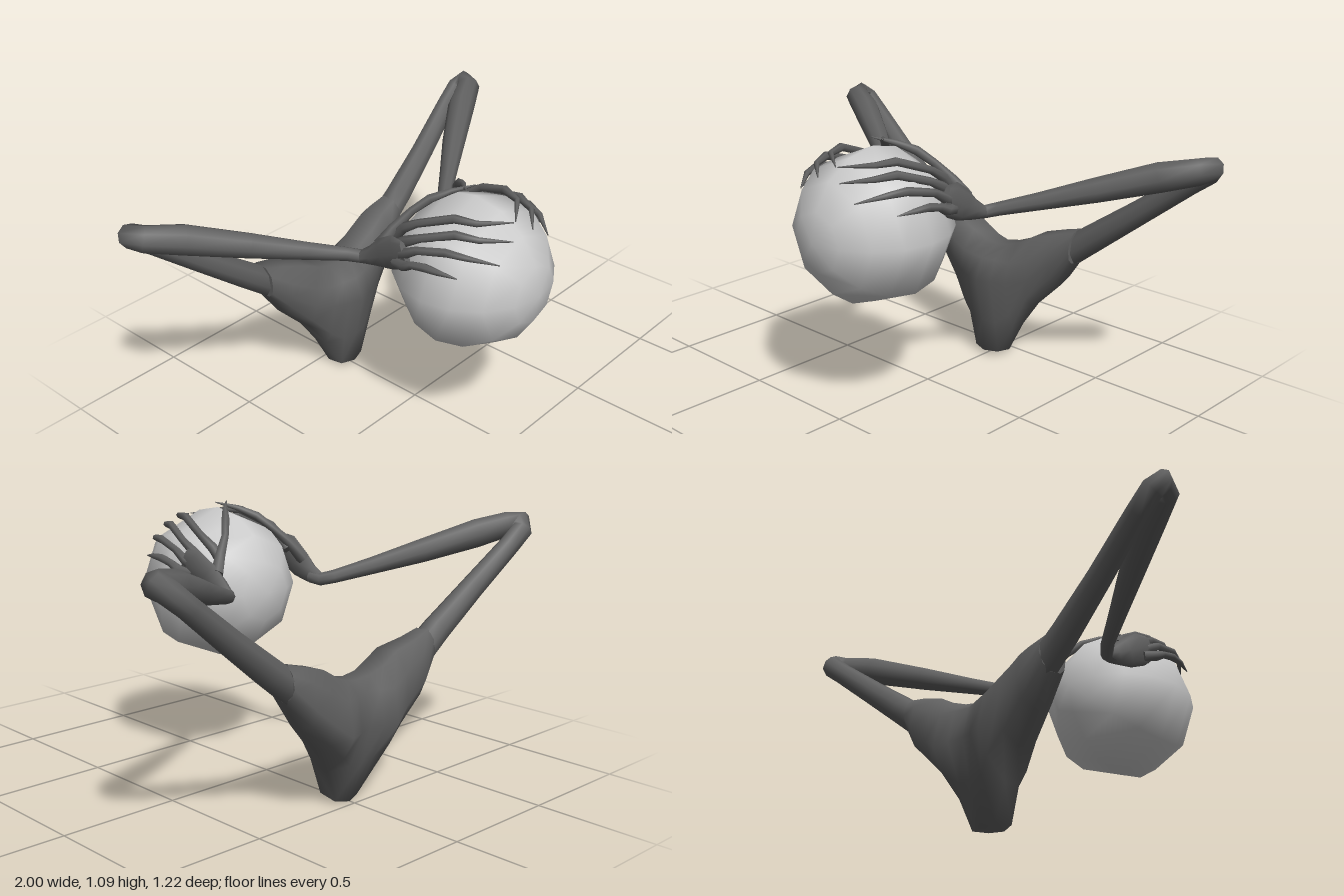
import * as THREE from 'three';

const V = (x, y, z) => new THREE.Vector3(x, y, z);
const dark = new THREE.MeshStandardMaterial({ color: 0x606060 });
const grey = new THREE.MeshStandardMaterial({ color: 0xcccccc });
const ORB = V(0, 0.757, 0.296), ORB_R = 0.313;

// Skin a closed, capped surface over a list of equal-sized rings
function loft(rings) {
  const n = rings[0].length, pos = [], idx = [];
  rings.forEach(r => r.forEach(p => pos.push(p.x, p.y, p.z)));
  for (let k = 0; k < rings.length - 1; k++) {
    for (let i = 0; i < n; i++) {
      const a = k * n + i, b = k * n + (i + 1) % n;
      idx.push(a, b, a + n, b, b + n, a + n);
    }
  }
  // caps have their own vertices so their rims stay crisp
  [[rings[0], true], [rings[rings.length - 1], false]].forEach(([ring, flip]) => {
    const base = pos.length / 3;
    const mid = ring.reduce((s, p) => s.add(p), V(0, 0, 0)).divideScalar(n);
    [...ring, mid].forEach(p => pos.push(p.x, p.y, p.z));
    for (let i = 0; i < n; i++) {
      const a = base + i, b = base + (i + 1) % n;
      idx.push(base + n, flip ? b : a, flip ? a : b);
    }
  });
  const g = new THREE.BufferGeometry();
  g.setAttribute('position', new THREE.Float32BufferAttribute(pos, 3));
  g.setIndex(idx);
  g.computeVertexNormals();
  return g;
}

// Rings around a path of [x, y, z, radius along ref, radius across]
function limbRings(path, ref, sides) {
  const c = path.map(p => V(p[0], p[1], p[2]));
  return c.map((p, k) => {
    const before = c[Math.max(k - 1, 0)], after = c[Math.min(k + 1, c.length - 1)];
    const t = V(0, 0, 0);
    if (k > 0) t.add(p.clone().sub(before).normalize());
    if (k < c.length - 1) t.add(after.clone().sub(p).normalize());
    t.normalize();
    const r = ref(p);
    const u = r.clone().addScaledVector(t, -r.dot(t)).normalize();
    const v = t.clone().cross(u);
    const ru = path[k][3], rv = path[k][4] ?? ru;
    return Array.from({ length: sides }, (_, i) => {
      const a = i / sides * Math.PI * 2;
      return p.clone().addScaledVector(u, ru * Math.cos(a)).addScaledVector(v, rv * Math.sin(a));
    });
  });
}

const mirrored = rings => rings.map(r => r.map(p => V(-p.x, p.y, p.z)).reverse());

// Torso slices: x, then a loop of [z, y] from the bottom front, up and over to the bottom back
const TORSO = [
  [0, [[-.355, .022], [-.34, .17], [-.295, .365], [-.33, .46], [-.43, .5], [-.5, .5], [-.55, .46], [-.575, .33], [-.53, .17], [-.475, .003]]],
  [.062, [[-.375, .026], [-.352, .17], [-.315, .367], [-.342, .46], [-.43, .51], [-.51, .51], [-.568, .46], [-.59, .325], [-.53, .18], [-.455, .012]]],
  [.125, [[-.40, .16], [-.365, .22], [-.34, .37], [-.355, .46], [-.42, .535], [-.52, .535], [-.585, .46], [-.607, .32], [-.56, .23], [-.47, .15]]],
  [.2, [[-.42, .275], [-.39, .31], [-.375, .39], [-.375, .48], [-.42, .575], [-.52, .58], [-.575, .5], [-.588, .38], [-.555, .3], [-.48, .265]]],
  [.3, [[-.45, .375], [-.41, .42], [-.40, .48], [-.40, .54], [-.45, .605], [-.53, .61], [-.575, .56], [-.588, .46], [-.56, .395], [-.5, .37]]],
  [.385, [[-.45, .5], [-.43, .52], [-.425, .56], [-.43, .6], [-.46, .63], [-.52, .635], [-.55, .6], [-.56, .55], [-.54, .51], [-.5, .49]]],
];

// Shoulder, elbow and wrist
const ARM = [
  [.34, .53, -.495, .062], [.46, .62, -.5, .058], [.65, .762, -.52, .05],
  [.85, .915, -.548, .044], [.925, .972, -.552, .046], [.955, 1, -.53, .046],
  [.925, .99, -.485, .053], [.8, .958, -.42, .06], [.6, .893, -.297, .05],
  [.42, .836, -.18, .036], [.29, .797, -.095, .028], [.25, .785, -.055, .027], [.24, .795, -.01, .03],
];

// Palm: a flat slab hugging the ball
const PALM = [
  [.25, .785, -.05, .026, .026], [.242, .805, 0, .042, .03], [.245, .84, .065, .064, .032],
  [.258, .88, .14, .07, .026], [.268, .9, .185, .05, .014],
];

// Fingers as [z, y] points laid on the ball, knuckle to tip
const FINGERS = {
  indexFinger: [[.07, .9], [.11, .945], [.18, .99], [.32, 1.042], [.4, 1.038], [.48, 1.024]],
  middleFinger: [[.11, .89], [.165, .93], [.23, .965], [.36, 1.008], [.44, 1], [.52, .982]],
  ringFinger: [[.13, .87], [.18, .895], [.24, .93], [.36, .957], [.44, .95], [.53, .925]],
  littleFinger: [[.14, .845], [.2, .86], [.24, .88], [.3, .893], [.36, .892], [.43, .884]],
};
const FINGER_R = [.022, .021, .016, .017, .012, .002];

const THUMB = [
  [.235, .86, .03, .028], [.19, .925, .06, .022], [.13, .99, .1, .016],
  [.085, 1.04, .15, .018], [.035, 1.072, .21, .012], [-.03, 1.095, .275, .002],
];

export function createModel() {
  const model = new THREE.Group();
  const add = (parent, name, geo, mat = dark) => {
    const m = new THREE.Mesh(geo, mat);
    m.name = name;
    parent.add(m);
  };

  // Faceted ball with its poles facing front and back
  const ball = new THREE.SphereGeometry(ORB_R, 8, 8).rotateX(Math.PI / 2).translate(ORB.x, ORB.y, ORB.z);
  add(model, 'ball', ball, grey);

  // Torso lofted from the left shoulder to the right
  const slice = ([x, loop], s) => loop.map(([z, y]) => V(s * x, y, z));
  add(model, 'torso', loft([
    ...[...TORSO].reverse().map(t => slice(t, 1)),
    ...TORSO.slice(1).map(t => slice(t, -1)),
  ]));

  // Arms and hands
  const outward = p => p.clone().sub(ORB);
  const parts = {
    arm: limbRings(ARM, () => V(.31, -.379, .275), 8),
    palm: limbRings(PALM, () => V(0, .87, -.5), 8),
    thumb: limbRings(THUMB, outward, 6),
  };
  for (const [name, pts] of Object.entries(FINGERS)) {
    const path = pts.map(([z, y], i) => {
      const R = ORB_R + .01;
      const x = Math.sqrt(Math.max(0, R * R - (y - ORB.y) ** 2 - (z - ORB.z) ** 2));
      return [name === 'indexFinger' && i === 5 ? .005 : x, y, z, FINGER_R[i]];
    });
    parts[name] = limbRings(path, outward, 6);
  }
  for (const side of ['left', 'right']) {
    const limb = new THREE.Group();
    limb.name = side + 'ArmAndHand';
    for (const [name, rings] of Object.entries(parts)) {
      add(limb, name, loft(side === 'left' ? rings : mirrored(rings)));
    }
    model.add(limb);
  }
  return model;
}
